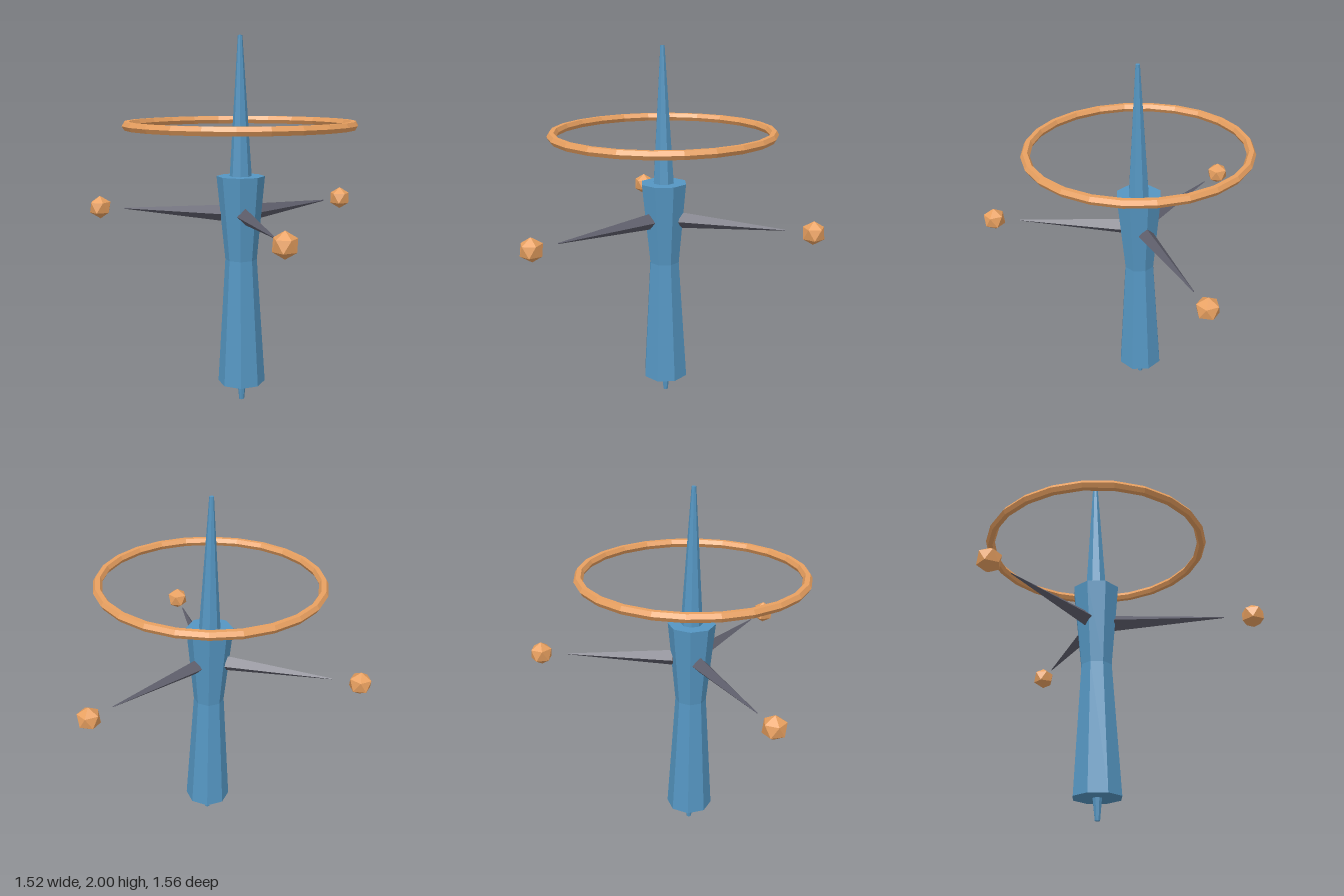
import * as THREE from 'three';

export function createModel() {
  const model = new THREE.Group();
  model.name = 'beacon';
  const mat = (color, extra = {}) =>
    new THREE.MeshStandardMaterial({ color, flatShading: true, ...extra });
  const blue = mat(0x5596c2);
  const orange = mat(0xe8a060);
  const grey = mat(0x5e5e6b);

  const add = (parent, name, geometry, material, y = 0) => {
    const mesh = new THREE.Mesh(geometry, material);
    mesh.name = name;
    mesh.position.y = y;
    parent.add(mesh);
    return mesh;
  };
  // Closed eight-sided solid turned from [radius, height] points
  const turned = (points) =>
    new THREE.LatheGeometry(points.map(([r, y]) => new THREE.Vector2(r, y)), 8);

  // Everything is arranged around one upright axis
  const tower = new THREE.Group();
  tower.name = 'tower';
  tower.position.x = -0.14;
  model.add(tower);

  // Waisted octagonal body
  add(tower, 'body', turned([[0, 0.11], [0.13, 0.11], [0.086, 0.81], [0.13, 1.265], [0, 1.265]]), blue);

  // Tall spire above and short peg below
  add(tower, 'spire', turned([[0, 1.25], [0.06, 1.25], [0.012, 2], [0, 2]]), blue);
  add(tower, 'bottomPeg', turned([[0, 0], [0.014, 0], [0.026, 0.12], [0, 0.12]]), blue);

  // Floating ring
  const ring = new THREE.TorusGeometry(0.596, 0.025, 6, 24).rotateX(Math.PI / 2);
  add(tower, 'ring', ring, orange, 1.538);

  // Three four-sided spikes, each with a faceted orb beyond its tip
  const spikeGeometry = new THREE.CylinderGeometry(0.003, 0.045, 0.585, 4)
    .rotateZ(-Math.PI / 2)
    .translate(0.1 + 0.585 / 2, 0, 0);
  const orbGeometry = new THREE.IcosahedronGeometry(0.065, 0)
    .rotateX(-Math.atan((1 + Math.sqrt(5)) / 2)) // stand on a corner
    .rotateY(-Math.PI / 2);
  for (let i = 0; i < 3; i++) {
    const angle = (i * Math.PI * 2) / 3;
    add(tower, 'spike' + (i + 1), spikeGeometry, grey, 1.06).rotation.y = angle;
    const orb = add(tower, 'orb' + (i + 1), orbGeometry, orange, 1.06);
    orb.position.x = 0.836 * Math.cos(angle);
    orb.position.z = -0.836 * Math.sin(angle);
  }
  return model;
}
